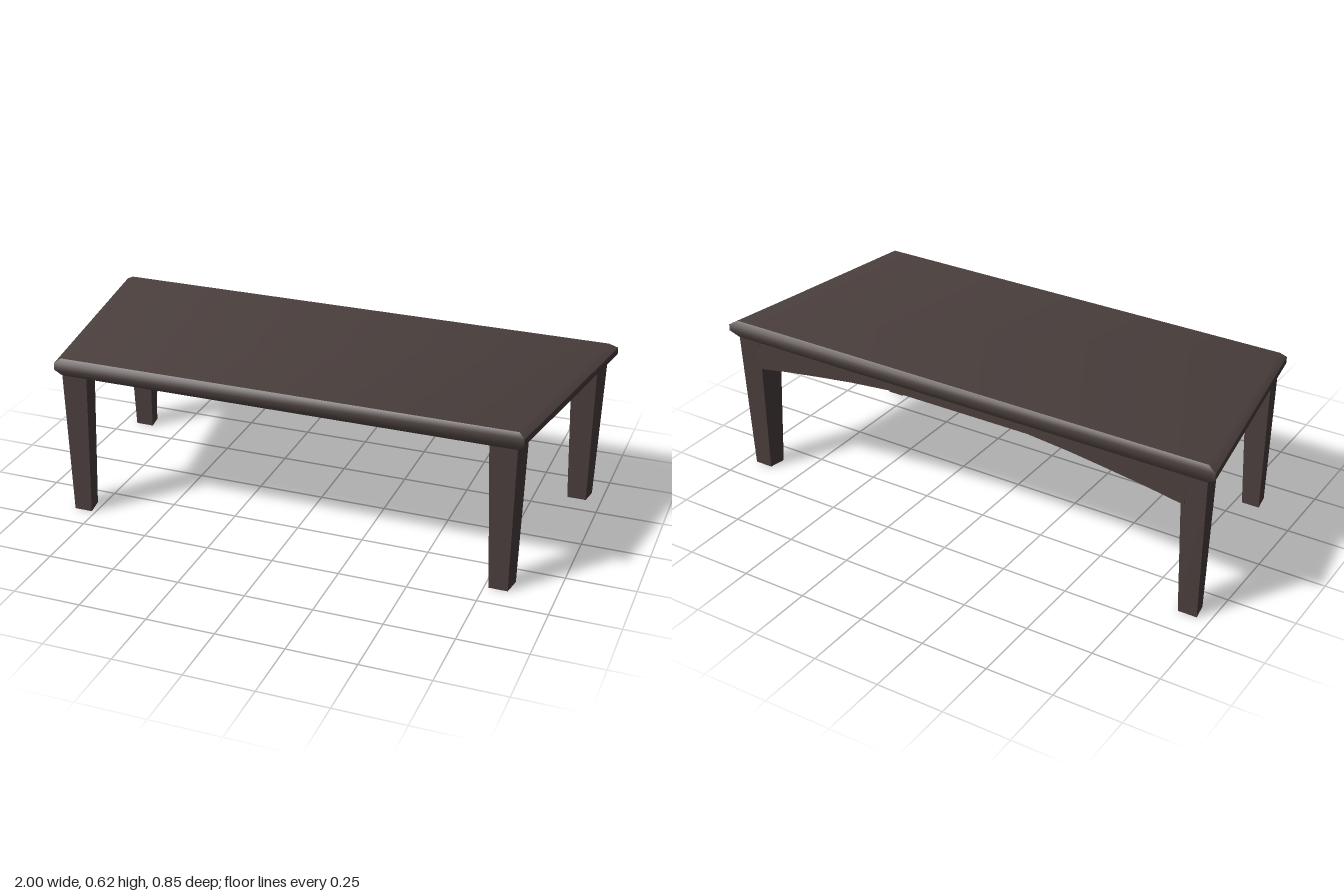
import * as THREE from 'three';
import { toCreasedNormals } from 'three/addons/utils/BufferGeometryUtils.js';

// Solid through four-cornered rings [[x, y, z] x 4], bottom to top,
// each ring counter-clockwise seen from above.
function loft(rings, crease) {
  const pos = [];
  const quad = (a, b, c, d) => pos.push(...a, ...b, ...c, ...a, ...c, ...d);
  for (let r = 0; r < rings.length - 1; r++) {
    for (let i = 0; i < 4; i++) {
      const j = (i + 1) % 4;
      quad(rings[r][i], rings[r][j], rings[r + 1][j], rings[r + 1][i]);
    }
  }
  quad(...[...rings[0]].reverse());
  quad(...rings[rings.length - 1]);
  const geo = new THREE.BufferGeometry();
  geo.setAttribute('position', new THREE.Float32BufferAttribute(pos, 3));
  geo.computeVertexNormals();
  return toCreasedNormals(geo, crease);
}

export function createModel() {
  const group = new THREE.Group();
  const wood = new THREE.MeshStandardMaterial({ color: 0x4a3f3d });
  const add = (geo, name) => {
    const mesh = new THREE.Mesh(geo, wood);
    mesh.name = name;
    group.add(mesh);
    return mesh;
  };

  // Tabletop: trapezoid, wider at the back, with a softened rim
  const rim = (y, front, back, z) => [[-front, y, z], [front, y, z], [back, y, -z], [-back, y, -z]];
  add(loft([
    rim(0.549, 0.845, 0.968, 0.413),
    rim(0.573, 0.866, 1.0, 0.427),
    rim(0.598, 0.866, 1.0, 0.427),
    rim(0.615, 0.845, 0.968, 0.413),
  ], 0.8), 'tabletop');

  // Tapered legs, skewed to follow the slanted sides of the top
  const legRing = (s, y, outer, inner, zf, zb) => {
    const skew = (zf - zb) * 0.156;
    const ring = [[inner - skew, y, zf], [outer - skew, y, zf], [outer, y, zb], [inner, y, zb]]
      .map(([x, h, z]) => [s * x, h, z]);
    return s > 0 ? ring : ring.reverse();
  };
  for (const s of [1, -1]) {
    const side = s > 0 ? 'Left' : 'Right';
    add(loft([
      legRing(s, 0, 0.845, 0.777, 0.405, 0.335),
      legRing(s, 0.55, 0.857, 0.76, 0.413, 0.322),
    ], 0.1), 'front' + side + 'Leg');
    add(loft([
      legRing(s, 0, 0.953, 0.882, -0.332, -0.396),
      legRing(s, 0.55, 0.968, 0.873, -0.309, -0.411),
    ], 0.1), 'back' + side + 'Leg');
  }

  // Arched apron between the back legs
  const half = [[0.29, 0.517], [0.45, 0.501], [0.6, 0.481], [0.75, 0.459], [0.89, 0.435]];
  const outline = [[-0.89, 0.55], ...[...half].reverse().map(([x, y]) => [-x, y]), ...half, [0.89, 0.55]];
  const apron = new THREE.ExtrudeGeometry(
    new THREE.Shape(outline.map(([x, y]) => new THREE.Vector2(x, y))),
    { depth: 0.103, bevelEnabled: false });
  apron.translate(0, 0, -0.41);
  add(toCreasedNormals(apron, 0.4), 'backApron');

  return group;
}
